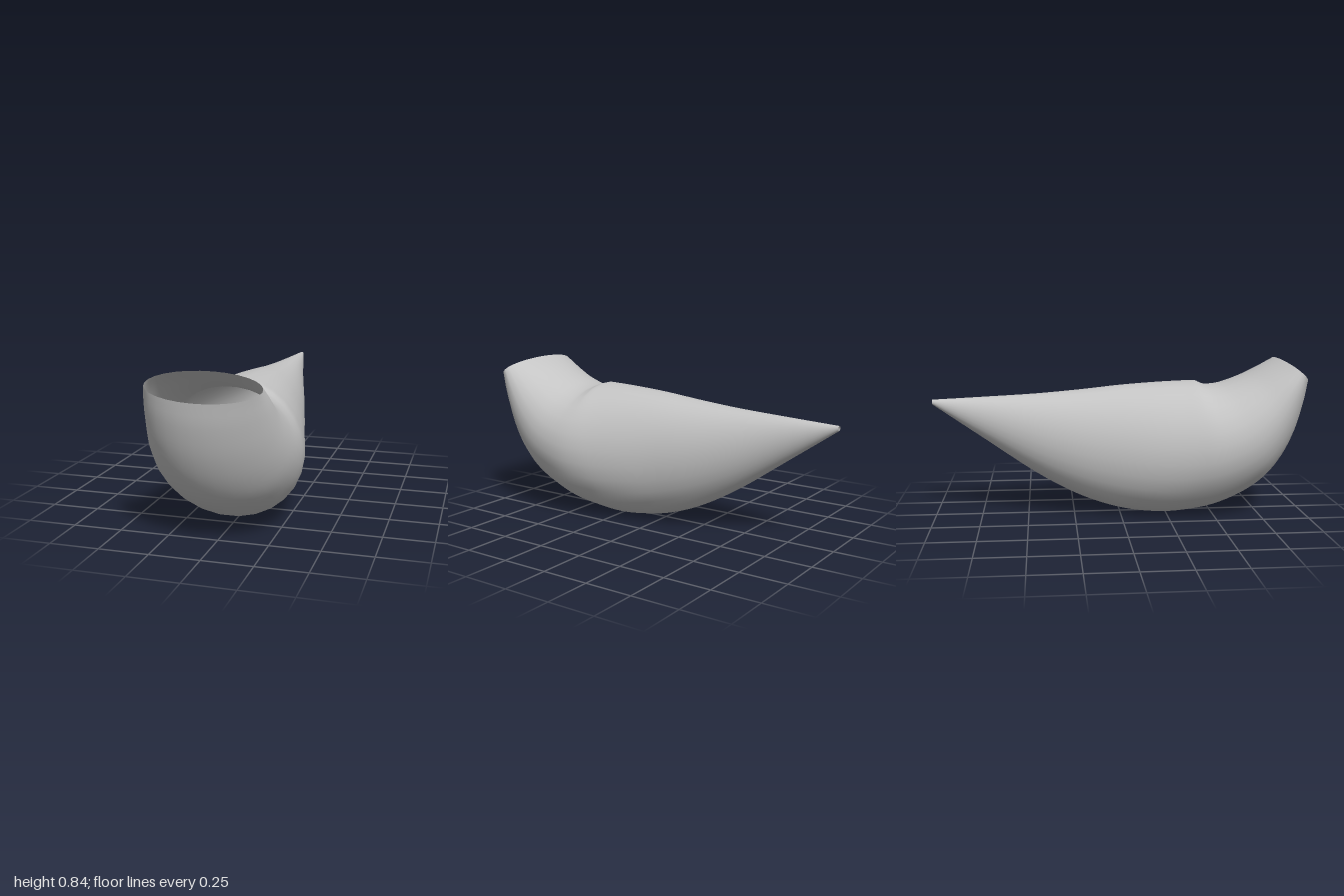
import * as THREE from 'three';

const SIDES = 28, RINGS = 56;

// Each cross-section: underside z, y; topside z, y; half width
const SECTIONS = [
  [1.0, 0.72, 0.87, 0.84, 0.275],
  [0.985, 0.6, 0.78, 0.797, 0.297],
  [0.945, 0.45, 0.69, 0.755, 0.317],
  [0.88, 0.31, 0.6, 0.722, 0.336],
  [0.79, 0.195, 0.53, 0.704, 0.348],
  [0.66, 0.105, 0.47, 0.7, 0.353],
  [0.5, 0.04, 0.44, 0.709, 0.35],
  [0.34, 0.01, 0.41, 0.72, 0.335],
  [0.2, 0.002, 0.33, 0.719, 0.311],
  [0.05, 0.018, 0.19, 0.713, 0.278],
  [-0.1, 0.057, 0.0, 0.7, 0.238],
  [-0.26, 0.122, -0.21, 0.679, 0.197],
  [-0.46, 0.235, -0.45, 0.66, 0.143],
  [-0.72, 0.415, -0.72, 0.647, 0.075],
  [-1.0, 0.61, -1.0, 0.635, 0.013],
];

// Skin of elliptical rings fanned round the bend, open at the mouth
function hornGeometry() {
  const bottom = new THREE.CatmullRomCurve3(SECTIONS.map(s => new THREE.Vector3(0, s[1], s[0])), false, 'catmullrom');
  // The top curve carries the half width in its x
  const top = new THREE.CatmullRomCurve3(SECTIONS.map(s => new THREE.Vector3(s[4], s[3], s[2])), false, 'catmullrom');
  const positions = [], indices = [];
  for (let i = 0; i <= RINGS; i++) {
    const b = bottom.getPoint(i / RINGS), t = top.getPoint(i / RINGS);
    for (let j = 0; j < SIDES; j++) {
      const a = (j + 0.5) / SIDES * Math.PI * 2;
      // Stretch so the half-step ring still reaches its full height
      const k = (1 + Math.cos(a) / Math.cos(Math.PI / SIDES)) / 2;
      positions.push(t.x * Math.sin(a), b.y + (t.y - b.y) * k, b.z + (t.z - b.z) * k);
      if (i < RINGS) {
        const n = (j + 1) % SIDES;
        const p = i * SIDES + j, q = i * SIDES + n;
        indices.push(p, q, p + SIDES, q, q + SIDES, p + SIDES);
      }
    }
  }
  const geometry = new THREE.BufferGeometry();
  geometry.setAttribute('position', new THREE.Float32BufferAttribute(positions, 3));
  geometry.setIndex(indices);
  geometry.computeVertexNormals();
  return geometry;
}

export function createModel() {
  const group = new THREE.Group();
  group.name = 'curvedHorn';
  const grey = new THREE.MeshStandardMaterial({ color: 0xc4c4c4 });
  grey.name = 'light grey';
  grey.side = THREE.DoubleSide;
  const body = new THREE.Mesh(hornGeometry(), grey);
  body.name = 'hornBody';
  group.add(body);
  return group;
}
